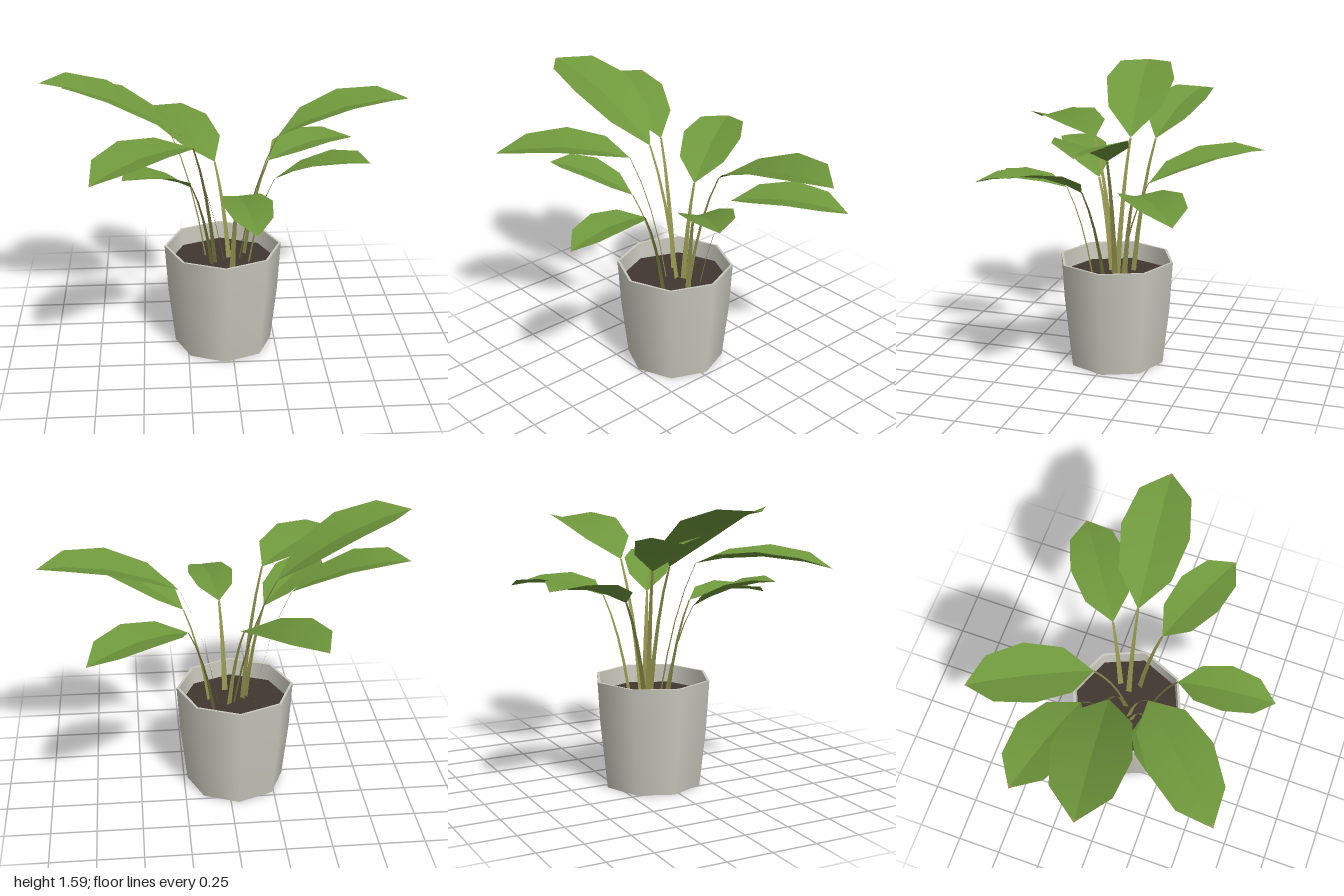
import * as THREE from 'three';

const mat = (name, color, side = THREE.FrontSide) => {
  const m = new THREE.MeshStandardMaterial({ color, side });
  m.name = name;
  return m;
};

// Surface joining rows of points; every row has the same number of points
function loft(rows) {
  const n = rows[0].length, index = [];
  for (let i = 0; i < rows.length - 1; i++) {
    for (let j = 0; j < n - 1; j++) {
      const a = i * n + j, b = a + n;
      index.push(a, a + 1, b, b, a + 1, b + 1);
    }
  }
  const g = new THREE.BufferGeometry().setFromPoints(rows.flat());
  g.setIndex(index);
  g.computeVertexNormals();
  return g;
}

// Leaf outline: position along the midrib, share of the full half width
const OUTLINE = [[0, 0], [0.2, 0.76], [0.5, 1], [0.8, 0.76], [0.97, 0.11]];
const TIP = [[0.97, 0.11], [1, 0]];

// Each leaf: stem root (x, z), leaf base, leaf tip, half width, arch of midrib
const LEAVES = [
  [[-0.01, -0.06], [-0.08, 1.03, -0.2], [-0.43, 1.18, -0.78], 0.17, 0.04],
  [[-0.14, -0.1], [-0.33, 1.23, -0.17], [-0.92, 1.44, -0.31], 0.16, 0.05],
  [[-0.04, -0.035], [-0.27, 1.24, -0.04], [-1.0, 1.58, 0.06], 0.2, 0.06],
  [[-0.09, 0.0], [-0.21, 1.24, 0.15], [-0.73, 1.24, 0.67], 0.18, 0.05],
  [[-0.11, 0.02], [-0.22, 1.01, 0.13], [-0.58, 1.17, 0.42], 0.13, 0.035],
  [[0.0, 0.1], [0.02, 1.0, 0.24], [0.08, 1.0, 0.77], 0.13, 0.04],
  [[0.1, 0.0], [0.23, 1.03, 0.08], [0.7, 1.2, 0.33], 0.14, 0.04],
  [[0.05, -0.05], [0.26, 1.22, -0.07], [0.99, 1.395, -0.14], 0.185, 0.06],
  [[0.08, -0.11], [0.22, 1.03, -0.2], [0.75, 1.035, -0.55], 0.16, 0.045],
];
const SOIL_Y = 0.5;

export function createModel() {
  const model = new THREE.Group();
  model.name = 'pottedPlant';
  const ceramic = mat('ceramic', 0xcac9be);
  const earth = mat('soil', 0x40372f);
  const green = mat('leafGreen', 0x6f983c, THREE.DoubleSide);
  const stemColor = mat('stemOlive', 0x93934f, THREE.DoubleSide);
  const add = (parent, name, geometry, material) => {
    const mesh = new THREE.Mesh(geometry, material);
    mesh.name = name;
    parent.add(mesh);
    return mesh;
  };

  // Eight-sided pot, each surface separate so the rim and foot stay sharp
  const pot = new THREE.Group();
  pot.name = 'pot';
  pot.position.set(-0.045, 0, -0.027);
  model.add(pot);
  const shells = {
    potBottom: [[0, 0], [0.275, 0]],
    potWall: [[0.275, 0], [0.31, 0.32], [0.327, 0.6]],
    potRim: [[0.327, 0.6], [0.313, 0.6]],
    potInside: [[0.313, 0.6], [0.307, SOIL_Y - 0.01]],
  };
  for (const [name, points] of Object.entries(shells)) {
    add(pot, name, new THREE.LatheGeometry(points.map(p => new THREE.Vector2(...p)), 8), ceramic);
  }
  const soil = add(pot, 'soil', new THREE.CircleGeometry(0.308, 8).rotateX(-Math.PI / 2), earth);
  soil.position.y = SOIL_Y;

  LEAVES.forEach(([root, basePoint, tipPoint, halfWidth, arch]) => {
    const base = new THREE.Vector3(...basePoint), tip = new THREE.Vector3(...tipPoint);
    const start = new THREE.Vector3(root[0], SOIL_Y, root[1]);
    const across = new THREE.Vector3(base.z - tip.z, 0, tip.x - base.x).normalize();
    const plant = new THREE.Group();
    plant.name = 'leafWithStem';
    model.add(plant);

    // Flat tapering stem that bends outwards
    const bend = start.clone().lerp(base, 0.36);
    bend.y = THREE.MathUtils.lerp(start.y, base.y, 0.65);
    const path = new THREE.QuadraticBezierCurve3(start, bend, base);
    add(plant, 'stem', loft(path.getPoints(4).map((p, i) => {
      const w = 0.016 - 0.0025 * i;
      return [p.clone().addScaledVector(across, w), p.clone().addScaledVector(across, -w)];
    })), stemColor);

    // Two blade halves folded up from an arched midrib, and a dry tip
    const rows = (outline, side) => outline.map(([t, share]) => {
      const mid = base.clone().lerp(tip, t);
      mid.y += arch * 4 * t * (1 - t);
      const edge = mid.clone().addScaledVector(across, side * share * halfWidth);
      edge.y += 0.25 * share * halfWidth;
      return side > 0 ? [edge, mid] : [mid, edge];
    });
    for (const side of [1, -1]) {
      add(plant, 'leafHalf', loft(rows(OUTLINE, side)), green);
      add(plant, 'leafTip', loft(rows(TIP, side)), stemColor);
    }
  });
  return model;
}
